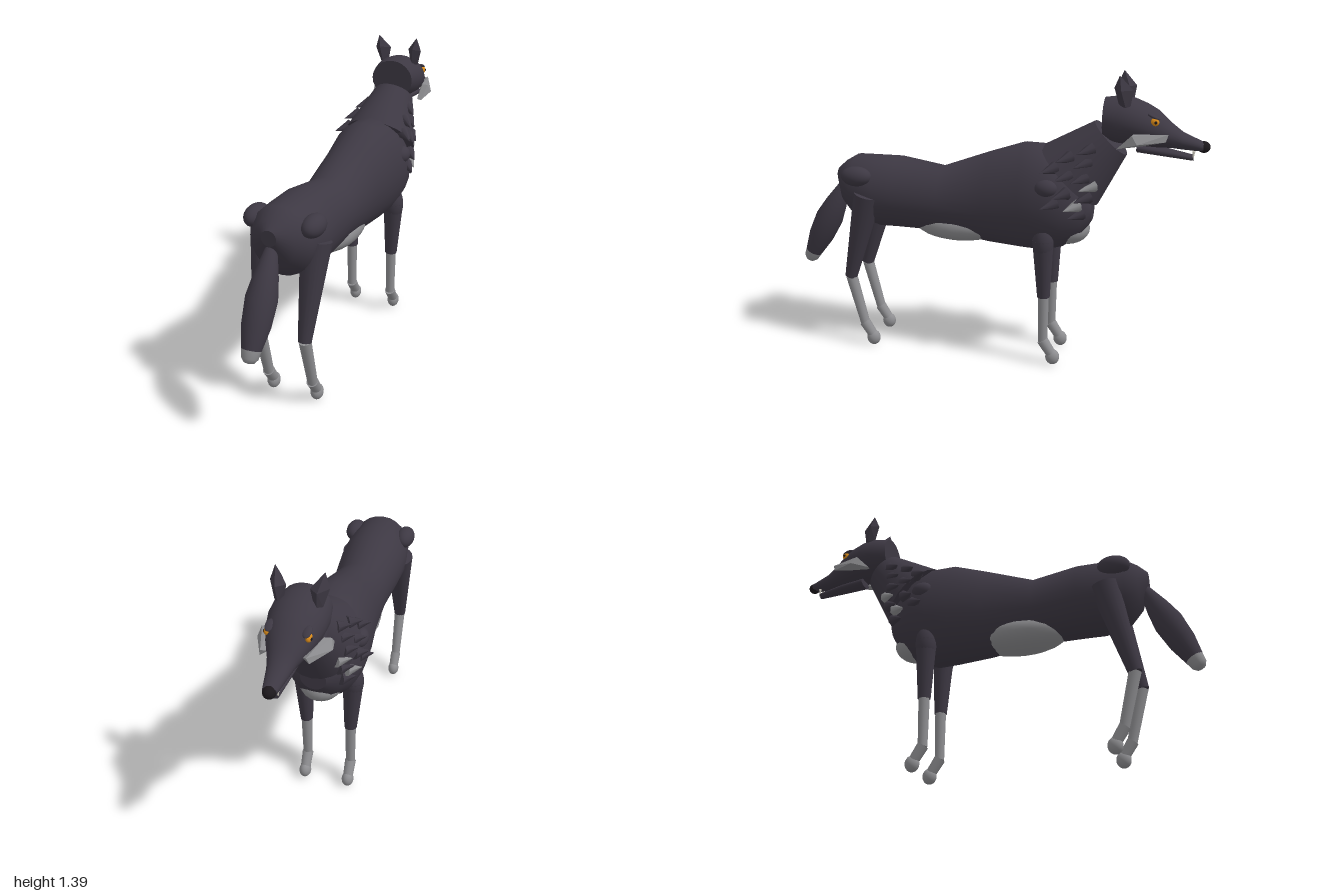
import * as THREE from 'three';
import { ConvexGeometry } from 'three/addons/geometries/ConvexGeometry.js';

const mat = (name, color) => Object.assign(new THREE.MeshStandardMaterial({ color }), { name });
const V = (x, y, z) => new THREE.Vector3(x, y, z);
const UP = V(0, 1, 0);

// Loft of elliptical rings [z, top, bottom, halfWidth], z running from back to nose
function loft(rings, n = 24) {
  const pos = [], idx = [];
  const ring = ([z, top, bot, rx]) => {
    for (let j = 0; j < n; j++) {
      const a = (j / n) * Math.PI * 2;
      pos.push(rx * Math.cos(a), (top + bot) / 2 + ((top - bot) / 2) * Math.sin(a), z);
    }
  };
  rings.forEach(ring);
  for (let i = 0; i < rings.length - 1; i++) {
    for (let j = 0; j < n; j++) {
      const a = i * n + j, b = i * n + ((j + 1) % n);
      idx.push(a, a + n, b, b, a + n, b + n);
    }
  }
  // Flat end caps with their own vertices
  [rings[0], rings[rings.length - 1]].forEach((r, end) => {
    const start = pos.length / 3;
    ring(r);
    pos.push(0, (r[1] + r[2]) / 2, r[0]);
    for (let j = 0; j < n; j++) {
      const a = start + j, b = start + ((j + 1) % n);
      idx.push(start + n, end ? b : a, end ? a : b);
    }
  });
  const g = new THREE.BufferGeometry();
  g.setAttribute('position', new THREE.Float32BufferAttribute(pos, 3));
  g.setIndex(idx);
  g.computeVertexNormals();
  return g;
}

export function createModel() {
  const fur = mat('dark fur', 0x3d3843);
  const grey = mat('grey fur', 0x8e8e91);
  const amber = mat('amber', 0xd98a18);
  const black = mat('black', 0x1c181c);
  const ivory = mat('ivory', 0xd8d4c8);
  const model = new THREE.Group();

  const add = (name, geometry, material) => {
    const m = new THREE.Mesh(geometry, material);
    m.name = name;
    model.add(m);
    return m;
  };
  const blob = (name, c, r, material) => {
    const m = add(name, new THREE.SphereGeometry(1, 20, 14), material);
    m.position.set(...c);
    m.scale.set(...r);
    return m;
  };
  // Tapered limb between two points
  const limb = (name, a, b, ra, rb, material, sides = 16) => {
    const d = b.clone().sub(a);
    const m = add(name, new THREE.CylinderGeometry(rb, ra, d.length(), sides), material);
    m.position.copy(a).addScaledVector(d, 0.5);
    m.quaternion.setFromUnitVectors(UP, d.normalize());
    return m;
  };

  // Trunk and neck
  add('body', loft([
    [0.77, 0.89, 0.82, 0.035], [0.73, 0.925, 0.71, 0.1], [0.67, 0.96, 0.645, 0.145],
    [0.55, 0.96, 0.61, 0.162], [0.45, 0.96, 0.61, 0.16], [0.235, 0.925, 0.605, 0.14],
    [0, 1.01, 0.568, 0.155], [-0.165, 1.064, 0.555, 0.18], [-0.27, 1.06, 0.55, 0.185],
    [-0.36, 1.02, 0.575, 0.175], [-0.45, 0.92, 0.64, 0.125], [-0.49, 0.82, 0.71, 0.06],
  ]), fur);
  limb('neck', V(0, 0.92, -0.38), V(0, 1.103, -0.562), 0.187, 0.105, fur, 24).scale.x = 0.95;
  blob('bellyPatch', [0, 0.65, 0.155], [0.125, 0.087, 0.23], grey);
  blob('chestPatch', [0, 0.665, -0.375], [0.1, 0.078, 0.105], grey);

  // Head, jaw and nose
  add('head', loft([
    [-0.53, 1.285, 1.096, 0.107], [-0.6, 1.295, 1.082, 0.122], [-0.66, 1.287, 1.078, 0.12],
    [-0.72, 1.263, 1.073, 0.108], [-0.77, 1.235, 1.07, 0.09], [-0.83, 1.18, 1.07, 0.062],
    [-0.88, 1.142, 1.065, 0.047], [-0.97, 1.103, 1.06, 0.03],
  ]), fur);
  add('lowerJaw', loft([[-0.68, 1.085, 1.043, 0.045], [-0.8, 1.07, 1.03, 0.036],
    [-0.93, 1.043, 1.016, 0.02]], 16), fur);
  blob('nose', [0, 1.08, -0.972], [0.027, 0.026, 0.028], black);

  // Tail with a pale tip
  const tailDir = V(0, -0.425, 0.22).normalize();
  const lathe = (name, pts, material) => {
    const m = add(name, new THREE.LatheGeometry(pts.map(p => new THREE.Vector2(...p)), 20), material);
    m.position.set(0, 0.81, 0.745);
    m.quaternion.setFromUnitVectors(UP, tailDir);
  };
  lathe('tail', [[0, 0], [0.025, 0.005], [0.053, 0.12], [0.068, 0.21], [0.062, 0.32], [0.042, 0.42]], fur);
  lathe('tailTip', [[0.042, 0.42], [0.036, 0.455], [0.022, 0.473], [0, 0.479]], grey);

  // Ruff tufts: x, y, z of the base, and 1 for a pale one
  const tufts = [
    [0.115, 1.064, -0.476], [0.135, 1.027, -0.385], [0.125, 1.005, -0.465], [0.155, 0.979, -0.32],
    [0.155, 0.947, -0.385], [0.14, 0.936, -0.455], [0.12, 0.898, -0.49, 1], [0.165, 0.866, -0.375],
    [0.125, 0.845, -0.47], [0.172, 0.818, -0.325], [0.145, 0.807, -0.425, 1], [0.125, 0.765, -0.44],
  ];

  for (const s of [1, -1]) {
    const side = s > 0 ? 'left' : 'right';
    const P = (x, y, z) => V(s * x, y, z);
    const hull = (name, pts, material) =>
      add(side + name, new ConvexGeometry(pts.map(p => P(...p))), material);

    hull('Ear', [[0.062, 1.255, -0.63], [0.1, 1.255, -0.63], [0.08, 1.26, -0.65], [0.08, 1.26, -0.6],
      [0.122, 1.33, -0.61], [0.048, 1.33, -0.63], [0.085, 1.33, -0.66], [0.088, 1.34, -0.577],
      [0.101, 1.395, -0.6]], fur);
    hull('Cheek', [[0.135, 1.078, -0.6], [0.112, 1.08, -0.605], [0.157, 1.105, -0.69], [0.145, 1.143, -0.665],
      [0.115, 1.143, -0.67], [0.092, 1.145, -0.82], [0.1, 1.112, -0.81], [0.07, 1.13, -0.8],
      [0.11, 1.09, -0.7]], grey);
    blob(side + 'Eye', [s * 0.083, 1.195, -0.757], [0.014, 0.018, 0.02], amber);
    blob(side + 'Pupil', [s * 0.095, 1.195, -0.762], [0.004, 0.007, 0.007], black);
    const brow = blob(side + 'Brow', [s * 0.076, 1.218, -0.752], [0.018, 0.008, 0.03], fur);
    brow.rotation.x = -0.4;
    limb(side + 'Fang', P(0.016, 1.062, -0.93), P(0.016, 1.02, -0.927), 0.007, 0.001, ivory, 6);

    blob(side + 'Hip', [s * 0.133, 0.88, 0.63], [0.048, 0.048, 0.076], fur);
    blob(side + 'Shoulder', [s * 0.15, 0.885, -0.293], [0.043, 0.042, 0.056], fur);

    for (const [x, y, z, pale] of tufts) {
      const base = P(x - 0.012, y + 0.004, z - 0.015);
      const tip = base.clone().add(P(0.055, -0.018, 0.06));
      limb(side + 'RuffTuft', base, tip, 0.031, 0.001, pale ? grey : fur, 7);
    }

    // Hind leg
    limb(side + 'Thigh', P(0.118, 0.79, 0.58), P(0.11, 0.36, 0.69), 0.069, 0.03, fur);
    limb(side + 'HindShin', P(0.11, 0.362, 0.688), P(0.11, 0.115, 0.625), 0.028, 0.023, grey);
    limb(side + 'HindAnkle', P(0.11, 0.12, 0.628), P(0.11, 0.05, 0.583), 0.027, 0.024, grey);
    blob(side + 'HindPaw', [s * 0.11, 0.04, 0.583], [0.029, 0.038, 0.034], grey);

    // Front leg
    blob(side + 'FrontLegTop', [s * 0.12, 0.62, -0.28], [0.05, 0.09, 0.05], fur);
    limb(side + 'FrontUpperLeg', P(0.12, 0.63, -0.28), P(0.11, 0.345, -0.285), 0.05, 0.03, fur);
    limb(side + 'FrontShin', P(0.11, 0.35, -0.285), P(0.11, 0.115, -0.285), 0.026, 0.022, grey);
    limb(side + 'FrontAnkle', P(0.11, 0.122, -0.283), P(0.11, 0.05, -0.33), 0.027, 0.024, grey);
    blob(side + 'FrontPaw', [s * 0.11, 0.04, -0.333], [0.029, 0.038, 0.034], grey);
  }
  return model;
}
